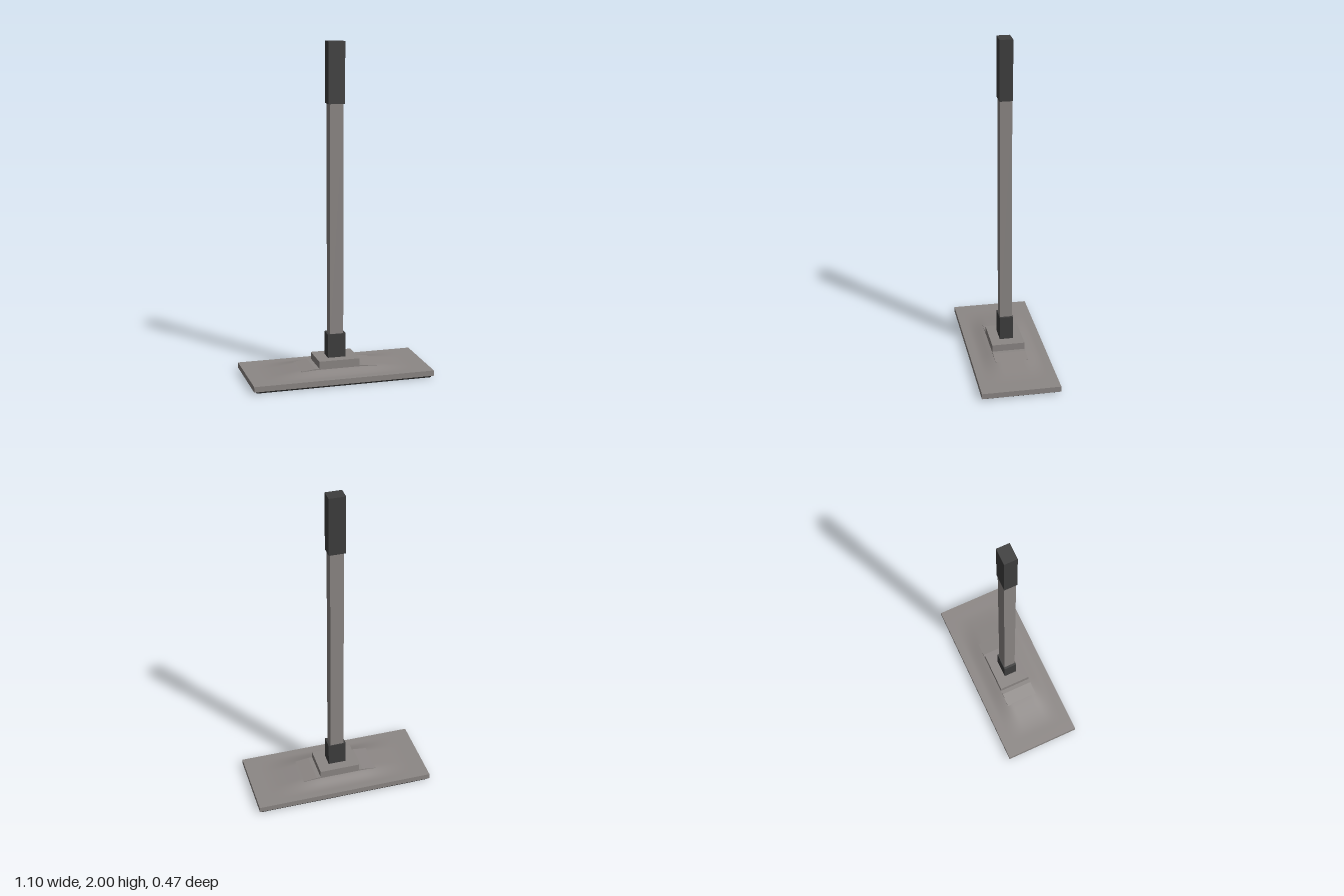
import * as THREE from 'three';

const material = (color) => new THREE.MeshStandardMaterial({ color });

export function createModel() {
  const model = new THREE.Group();
  const grey = material(0x8c8785);
  const dark = material(0x3e3e3e);
  const black = material(0x202020);

  const add = (name, geometry, mat) => {
    const mesh = new THREE.Mesh(geometry, mat);
    mesh.name = name;
    model.add(mesh);
    return mesh;
  };
  // Upright box given by width, depth and its bottom and top heights
  const block = (name, w, d, y0, y1, mat) => {
    add(name, new THREE.BoxGeometry(w, y1 - y0, d), mat).position.y = (y0 + y1) / 2;
  };

  // Cleaning pad under the head
  block('pad', 1.07, 0.455, 0, 0.012, black);

  // Head plate whose top swells into a low smooth mound
  const y0 = 0.01, y1 = 0.043;
  const plate = new THREE.BoxGeometry(1.1, y1 - y0, 0.47, 88, 1, 48);
  plate.translate(0, (y0 + y1) / 2, 0);
  const pos = plate.attributes.position;
  for (let i = 0; i < pos.count; i++) {
    if (pos.getY(i) < y1 - 0.001) continue;
    const fx = 1 - THREE.MathUtils.smoothstep(Math.abs(pos.getX(i)), 0.12, 0.46);
    const fz = 1 - THREE.MathUtils.smoothstep(Math.abs(pos.getZ(i)), 0.07, 0.19);
    pos.setY(i, y1 + 0.026 * fx * fz);
  }
  plate.computeVertexNormals();
  add('headPlate', plate, grey);

  // Ramped collar that runs out into the mound on both sides
  const ramp = new THREE.Shape();
  ramp.moveTo(-0.235, 0.04);
  ramp.lineTo(0.235, 0.04);
  ramp.lineTo(0.235, 0.062);
  ramp.lineTo(0.15, 0.072);
  ramp.lineTo(-0.15, 0.072);
  ramp.lineTo(-0.235, 0.062);
  const collar = new THREE.ExtrudeGeometry(ramp, { depth: 0.2, bevelEnabled: false });
  collar.translate(0, 0, -0.1);
  add('collar', collar, grey);

  // Mount, socket, pole and grip
  block('mount', 0.25, 0.2, 0.05, 0.115, grey);
  block('socket', 0.11, 0.082, 0.11, 0.26, dark);
  block('pole', 0.082, 0.072, 0.25, 1.65, grey);
  block('grip', 0.1, 0.078, 1.64, 2, dark);

  return model;
}
